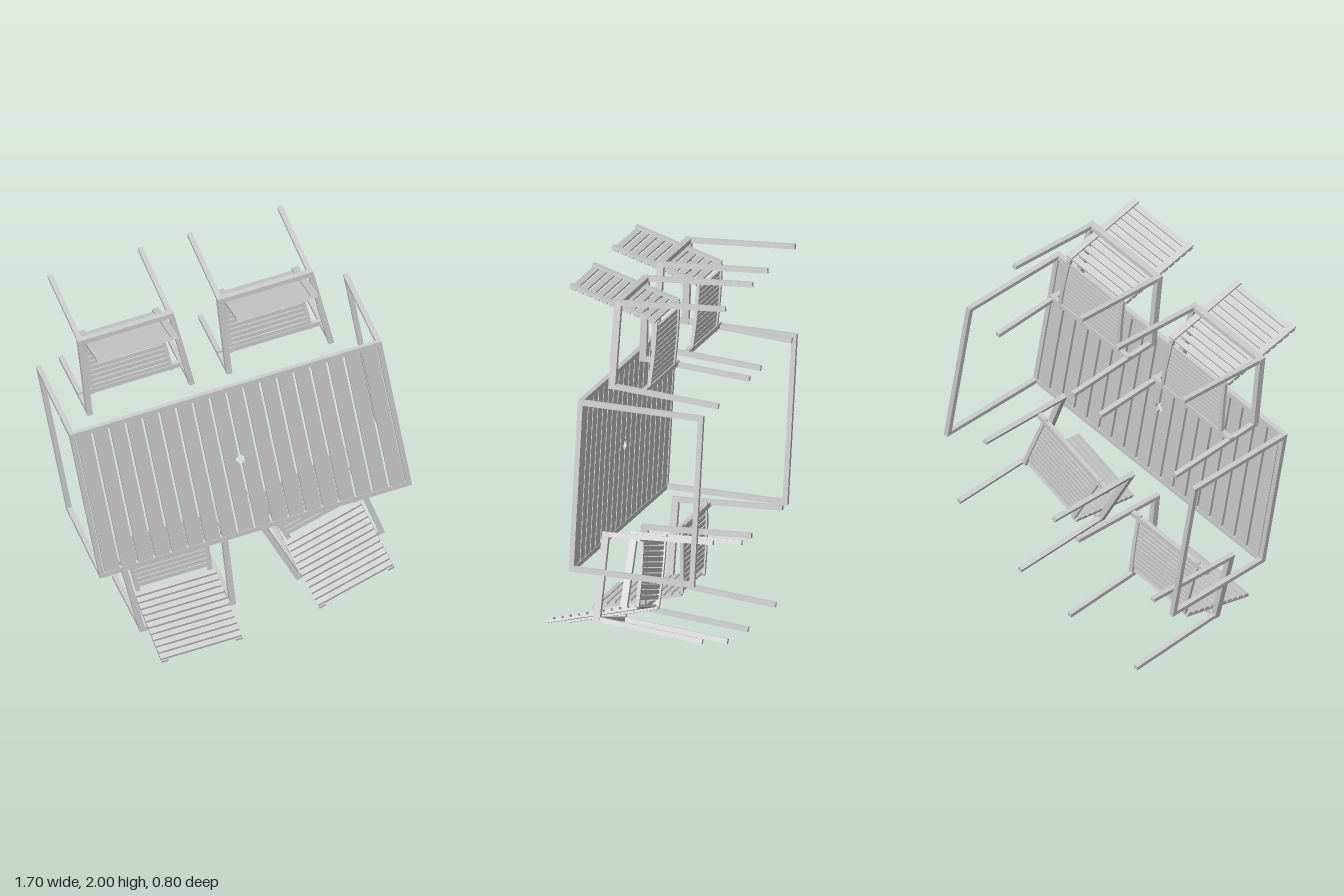
import * as THREE from 'three';

const material = new THREE.MeshStandardMaterial({ color: 0xcccccc });
const V = (x, y, z) => new THREE.Vector3(x, y, z);

// Square-cut bar from a to b; w is its width, t its thickness (towards +z where possible)
function bar(parent, name, a, b, w, t = w) {
  const dir = b.clone().sub(a);
  const mesh = new THREE.Mesh(new THREE.BoxGeometry(w, t, dir.length()), material);
  const zAxis = dir.clone().normalize();
  const up = Math.abs(zAxis.z) > 0.9 ? V(0, 1, 0) : V(0, 0, 1);
  const xAxis = up.clone().cross(zAxis).normalize();
  const yAxis = zAxis.clone().cross(xAxis);
  mesh.quaternion.setFromRotationMatrix(new THREE.Matrix4().makeBasis(xAxis, yAxis, zAxis));
  mesh.position.copy(a).add(b).multiplyScalar(0.5);
  mesh.name = name;
  parent.add(mesh);
}

// Slat beside the table centre, notched by half of the parasol hole
function notchedSlat(inner, outer, half, r, thickness) {
  const a = Math.acos(inner / r);
  const s = new THREE.Shape();
  s.moveTo(inner, -half);
  s.lineTo(outer, -half);
  s.lineTo(outer, half);
  s.lineTo(inner, half);
  s.absarc(0, 0, r, a, -a, true);
  s.closePath();
  return new THREE.ExtrudeGeometry(s, { depth: thickness, bevelEnabled: false, curveSegments: 10 });
}

function makeTable() {
  const g = new THREE.Group();
  g.name = 'table';
  const U = 0.776, W = 0.417, top = 0.228, floor = -0.377, t = 0.025;

  // Slatted top
  const count = 18, pitch = 1.527 / count, gap = 0.012, half = W - t / 2;
  for (let i = 0; i < count; i++) {
    const u = (i - (count - 1) / 2) * pitch;
    if (Math.abs(u) < pitch) {
      const slat = new THREE.Mesh(notchedSlat(gap / 2, pitch - gap / 2, half, 0.025, 0.02), material);
      slat.name = 'centreTopSlat';
      slat.position.z = top - 0.01;
      if (u < 0) slat.rotation.z = Math.PI;
      g.add(slat);
    } else {
      bar(g, 'topSlat', V(u, -half, top), V(u, half, top), pitch - gap, 0.02);
    }
  }

  // Border rails and end leg frames
  for (const s of [-1, 1]) {
    bar(g, 'longRail', V(-U - t / 2, s * W, top), V(U + t / 2, s * W, top), t);
    bar(g, 'endRail', V(s * U, -half, top), V(s * U, half, top), t);
    bar(g, 'floorRail', V(s * U, -half, floor), V(s * U, half, floor), t);
    for (const q of [-1, 1]) {
      bar(g, 'tableLeg', V(s * U, q * W, top - t / 2), V(s * U, q * W, floor - t / 2), t);
    }
  }
  return g;
}

// Chair: local +y runs from the front to the back, z is height
function makeChair() {
  const g = new THREE.Group();
  const armZ = 0.137, front = 0.02, rear = 0.43, seatEnd = 0.348;
  const seatHalf = v => 0.202 - 0.06 * v;
  const seatZ = v => -0.024 - 0.04 * v - 0.005 * Math.sin((Math.PI * v) / seatEnd);

  for (const s of [-1, 1]) {
    // Arms and splayed legs
    bar(g, 'armrest', V(s * 0.258, front - 0.013, armZ), V(s * 0.228, rear + 0.013, armZ), 0.028, 0.034);
    bar(g, 'frontLeg', V(s * 0.258, front, armZ), V(s * 0.258, front - 0.03, -0.399), 0.024);
    bar(g, 'rearLeg', V(s * 0.228, rear, armZ), V(s * 0.228, rear + 0.04, -0.399), 0.024);
    // Gently sagging seat rails
    for (let i = 0; i < 6; i++) {
      const a = (i * seatEnd) / 6, b = ((i + 1) * seatEnd) / 6;
      bar(g, 'seatRail', V(s * seatHalf(a), a, seatZ(a) - 0.005), V(s * seatHalf(b), b, seatZ(b) - 0.005), 0.02, 0.018);
    }
  }

  // Cross bars at the front of the seat and behind the back
  bar(g, 'frontRail', V(-0.27, front, -0.028), V(0.27, front, -0.028), 0.024);
  bar(g, 'rearRail', V(-0.228, rear, armZ), V(0.228, rear, armZ), 0.024, 0.034);

  // Seat slats
  for (let i = 0; i < 11; i++) {
    const v = 0.038 + i * 0.0265, h = seatHalf(v);
    bar(g, 'seatSlat', V(-h, v, seatZ(v)), V(h, v, seatZ(v)), 0.0215, 0.012);
  }

  // Tilted back: posts behind, full-width slats in front of them
  const back = new THREE.Group();
  back.name = 'back';
  back.position.set(0, seatEnd, -0.045);
  back.rotation.x = -Math.atan2(0.124, 0.44);
  for (const s of [-1, 1]) {
    bar(back, 'backPost', V(s * 0.188, 0.005, 0), V(s * 0.188, 0.005, 0.457), 0.034, 0.012);
  }
  for (let i = 0; i < 11; i++) {
    const z = 0.02 + i * 0.0415;
    bar(back, 'backSlat', V(-0.205, -0.006, z), V(0.205, -0.006, z), 0.012, 0.03);
  }
  g.add(back);
  return g;
}

export function createModel() {
  const root = new THREE.Group();
  root.name = 'gardenTableSet';

  const table = makeTable();
  table.position.y = 1.001;
  table.rotation.z = THREE.MathUtils.degToRad(10.2);
  root.add(table);

  // Chairs around the long sides: x, y, turn in degrees
  const places = [
    [-0.471, 1.362, 10.2],
    [0.222, 1.483, 10],
    [-0.316, 0.517, 190],
    [0.334, 0.71, 205],
  ];
  places.forEach(([x, y, deg], i) => {
    const chair = makeChair();
    chair.name = 'chair' + (i + 1);
    chair.position.set(x, y, 0);
    chair.rotation.z = THREE.MathUtils.degToRad(deg);
    root.add(chair);
  });
  return root;
}
